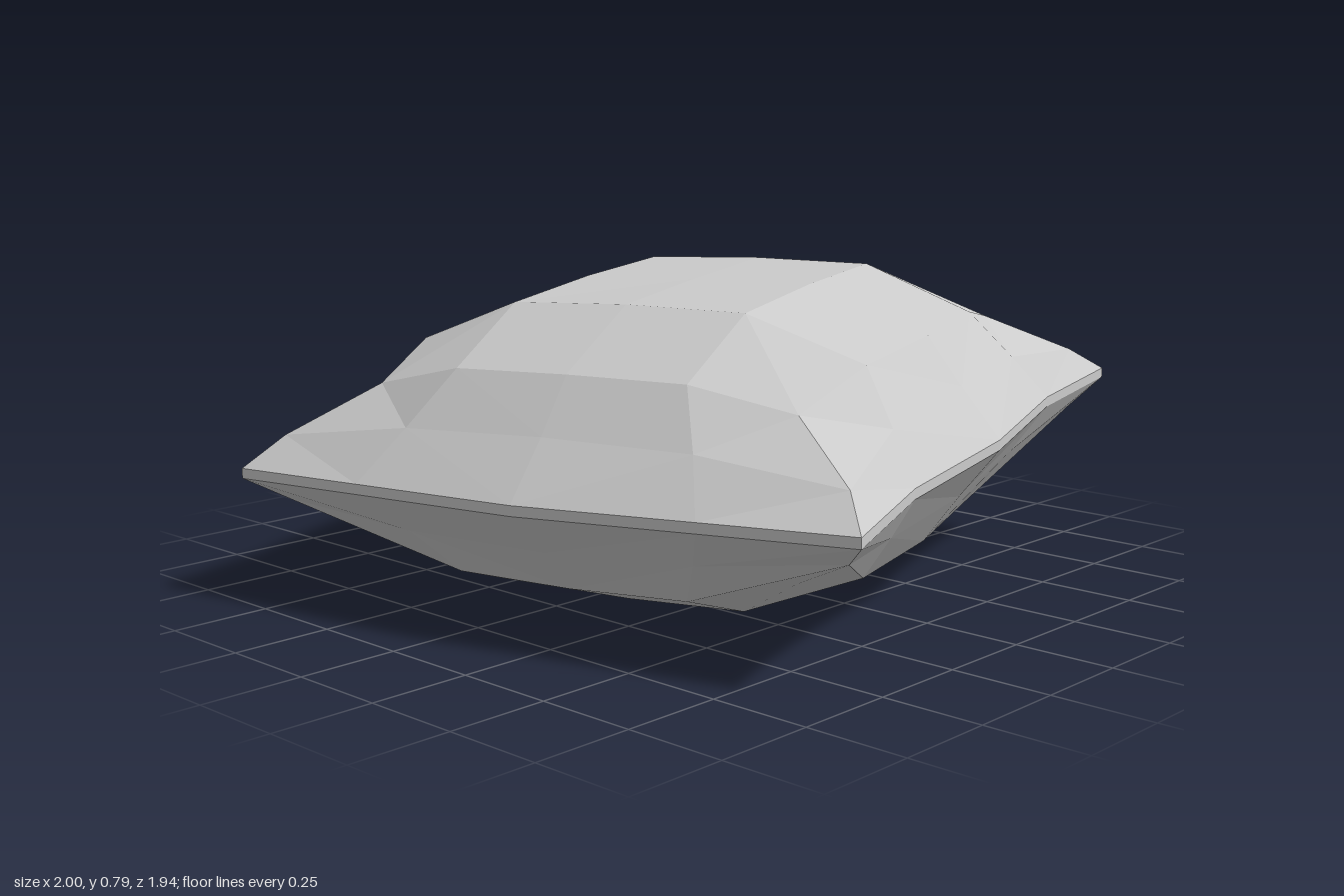
import * as THREE from 'three';

// Cushion axes: half width U, half depth V (slightly turned and tilted), centre height
const U = new THREE.Vector3(0.81, 0.015, -0.195);
const V = new THREE.Vector3(0.19, -0.065, 0.775);
const CENTRE_Y = 0.393;

// Rings from the crown to the seam. c: corner, a: position along a side,
// u / v: how far out the quarter and middle points lie on each kind of side,
// h: heights at corner, quarter and middle
const RINGS = [
  { c: [0, 0], a: [0, 0], u: [0, 0], v: [0, 0], h: [0.37, 0.37, 0.37] },
  { c: [0.39, 0.43], a: [0.43, 0.39], u: [0.39, 0.39], v: [0.43, 0.43], h: [0.36, 0.36, 0.367] },
  { c: [0.69, 0.71], a: [0.4, 0.38], u: [0.75, 0.772], v: [0.757, 0.765], h: [0.19, 0.25, 0.255] },
  { c: [0.92, 0.89], a: [0.48, 0.47], u: [0.865, 0.88], v: [0.89, 0.9], h: [0.08, 0.125, 0.135] },
  { c: [1, 1], a: [0.55, 0.55], u: [0.96, 1], v: [1.027, 1.06], h: [0.0125, 0.0125, 0.0125] },
];

// Sixteen points around one ring; sign is 1 for the top and -1 for the underside
function ringPoints(r, sign) {
  const pts = [];
  const add = (u, v, h) => pts.push(new THREE.Vector3(0, CENTRE_Y + sign * h, 0)
    .addScaledVector(U, u).addScaledVector(V, v));
  const [hc, ha, hm] = r.h;
  for (const s of [1, -1]) {
    // side facing +-U
    add(s * r.c[0], -s * r.c[1], hc);
    add(s * r.u[0], -s * r.a[0], ha);
    add(s * r.u[1], 0, hm);
    add(s * r.u[0], s * r.a[0], ha);
    // side facing +-V
    add(s * r.c[0], s * r.c[1], hc);
    add(s * r.a[1], s * r.v[0], ha);
    add(0, s * r.v[1], hm);
    add(-s * r.a[1], s * r.v[0], ha);
  }
  return pts;
}

// Joins successive rings with triangles, leaving out collapsed ones
function skin(rings) {
  const pos = [];
  const tri = (a, b, c) => {
    if (new THREE.Triangle(a, b, c).getArea() < 1e-7) return;
    for (const p of [a, b, c]) pos.push(p.x, p.y, p.z);
  };
  for (let k = 0; k + 1 < rings.length; k++) {
    const A = rings[k], B = rings[k + 1], n = A.length;
    for (let i = 0; i < n; i++) {
      const j = (i + 1) % n;
      if (i % 4 < 2) { // diagonals mirror about the middle of each side
        tri(A[i], B[j], B[i]);
        tri(A[i], A[j], B[j]);
      } else {
        tri(A[i], A[j], B[i]);
        tri(A[j], B[j], B[i]);
      }
    }
  }
  const g = new THREE.BufferGeometry();
  g.setAttribute('position', new THREE.Float32BufferAttribute(pos, 3));
  g.computeVertexNormals();
  return g;
}

export function createModel() {
  const group = new THREE.Group();
  group.name = 'cushion';
  const material = new THREE.MeshStandardMaterial({ color: 0xcccccc, flatShading: true });
  const top = RINGS.map((r) => ringPoints(r, 1));
  const bottom = RINGS.map((r) => ringPoints(r, -1)).reverse();
  const parts = {
    topCover: top,
    seam: [top[top.length - 1], bottom[0]],
    bottomCover: bottom,
  };
  for (const [name, rings] of Object.entries(parts)) {
    const mesh = new THREE.Mesh(skin(rings), material);
    mesh.name = name;
    group.add(mesh);
  }
  return group;
}
